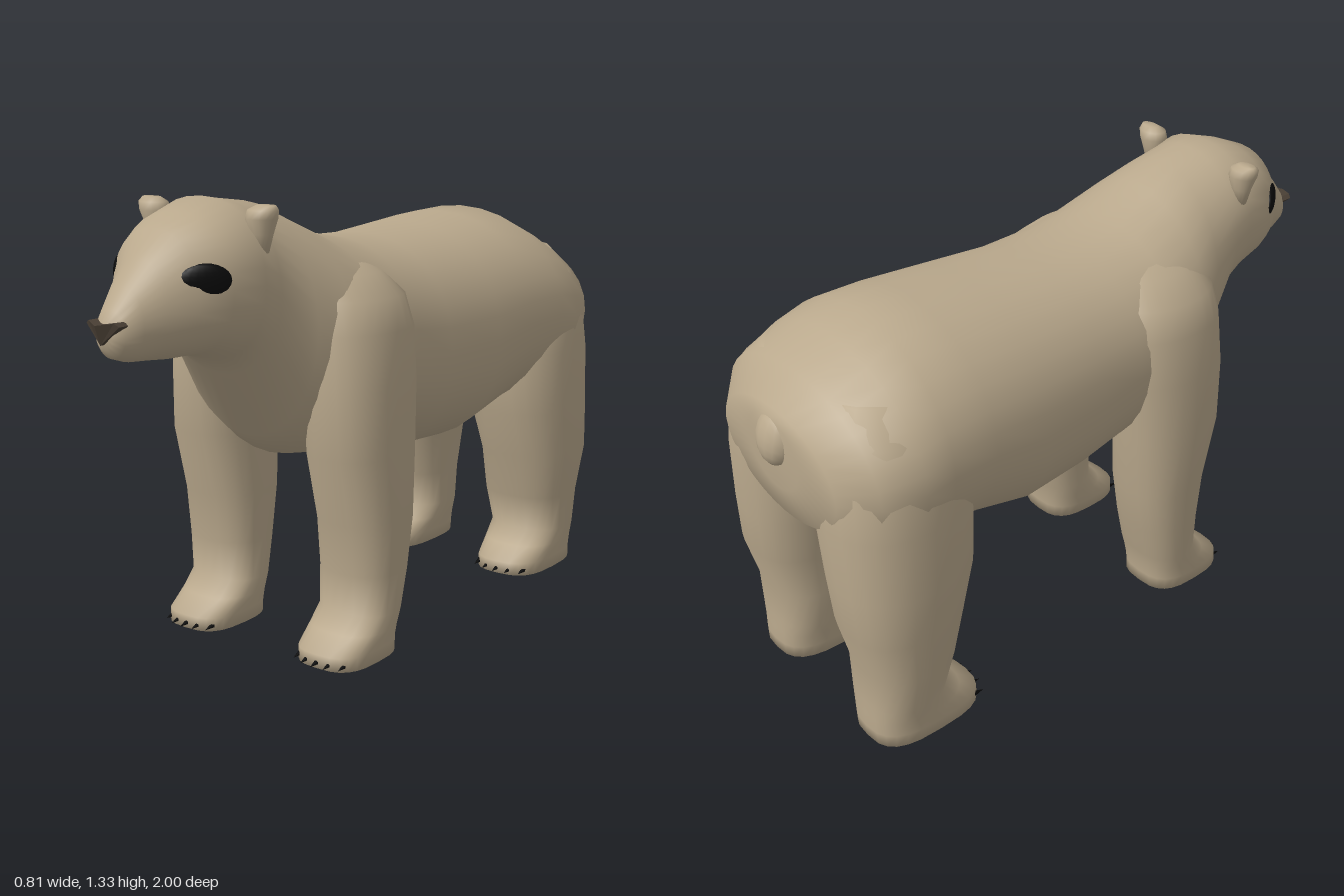
import * as THREE from 'three';
import { toCreasedNormals } from 'three/addons/utils/BufferGeometryUtils.js';

const fur = new THREE.MeshStandardMaterial({ color: 0xb9a88c });
const black = new THREE.MeshStandardMaterial({ color: 0x0a0a0a });
const noseBrown = new THREE.MeshStandardMaterial({ color: 0x4a4035 });

// Skin over rounded cross-sections [t, u0, u1, v0, v1, power], t increasing.
// Axis 'z' uses (u, v) = (x, y); axis 'y' uses (u, v) = (z, x).
function loft(axis, sections, sides = 24, crease = 2) {
  const pos = [], idx = [], n = sections.length;
  const add = (t, u, v) => (axis === 'z' ? pos.push(u, v, t) : pos.push(v, t, u));
  for (const [t, u0, u1, v0, v1, p] of sections) {
    for (let i = 0; i < sides; i++) {
      const a = (i / sides) * Math.PI * 2, c = Math.cos(a), s = Math.sin(a);
      const u = Math.sign(c) * Math.abs(c) ** (2 / p), v = Math.sign(s) * Math.abs(s) ** (2 / p);
      add(t, (u0 + u1) / 2 + (u * (u1 - u0)) / 2, (v0 + v1) / 2 + (v * (v1 - v0)) / 2);
    }
  }
  for (const [t, u0, u1, v0, v1] of [sections[0], sections[n - 1]]) add(t, (u0 + u1) / 2, (v0 + v1) / 2);
  for (let i = 0; i < sides; i++) {
    const j = (i + 1) % sides, top = (n - 1) * sides;
    for (let k = 0; k < n - 1; k++) {
      const a = k * sides + i, b = k * sides + j;
      idx.push(a, b, b + sides, a, b + sides, a + sides);
    }
    idx.push(n * sides, j, i, n * sides + 1, top + i, top + j);
  }
  const g = new THREE.BufferGeometry();
  g.setAttribute('position', new THREE.Float32BufferAttribute(pos, 3));
  g.setIndex(idx);
  return toCreasedNormals(g, crease);
}

// Upright loft for a part on the +x (left) side, mirrored when side is -1
function sideLoft(side, sections, sides) {
  return loft('y', sections.map(([y, z0, z1, a, b, p]) =>
    side > 0 ? [y, z0, z1, a, b, p] : [y, z0, z1, -b, -a, p]), sides);
}

function mesh(parent, name, geometry, material) {
  const m = new THREE.Mesh(geometry, material);
  m.name = name;
  parent.add(m);
  return m;
}

// Leg with its paw and claws
function leg(parent, name, side, sections, toeZ, x0, x1) {
  const g = new THREE.Group();
  g.name = name;
  parent.add(g);
  mesh(g, 'leg', sideLoft(side, sections, 24), fur);
  for (let i = 0; i < 5; i++) {
    const f = i / 4 - 0.5;
    const claw = mesh(g, 'claw', new THREE.ConeGeometry(0.017, 0.07, 6), black);
    claw.position.set(side * ((x0 + x1) / 2 + f * (x1 - x0)), 0.017, toeZ - 0.033 - f * f * 0.1);
    claw.rotation.x = Math.PI / 2 + 0.15;
  }
}

export function createModel() {
  const bear = new THREE.Group();
  bear.name = 'bear';

  // Rump, trunk, neck, head and muzzle: [z, halfWidth, bottom, top, power]
  const trunk = [
    [-0.97, 0.12, 0.78, 1.0, 2], [-0.955, 0.27, 0.69, 1.02, 2], [-0.88, 0.365, 0.62, 1.1, 2.1],
    [-0.76, 0.4, 0.57, 1.16, 2.1], [-0.67, 0.397, 0.55, 1.205, 2], [-0.52, 0.385, 0.54, 1.2, 2.1],
    [-0.33, 0.37, 0.49, 1.185, 2.2], [-0.1, 0.345, 0.5, 1.17, 2.2], [0.05, 0.335, 0.53, 1.175, 2.2],
    [0.2, 0.34, 0.55, 1.2, 2.1], [0.33, 0.315, 0.57, 1.26, 2], [0.43, 0.26, 0.645, 1.305, 2],
    [0.54, 0.225, 0.84, 1.32, 2.1], [0.6, 0.222, 0.89, 1.33, 2.2], [0.7, 0.2, 0.92, 1.295, 2.3],
    [0.78, 0.155, 0.92, 1.26, 2.2], [0.84, 0.105, 0.925, 1.19, 2.1], [0.9, 0.075, 0.93, 1.125, 2.1],
    [0.945, 0.053, 0.945, 1.07, 2.1], [0.968, 0.03, 0.97, 1.04, 2],
  ];
  mesh(bear, 'bodyAndHead',
    loft('z', trunk.map(([z, w, b, t, p]) => [z, -w, w, b, t, p]), 32), fur);

  // Nose pad: wide top edge tapering to a point below, swept back at the sides
  const pad = new THREE.Shape();
  pad.moveTo(0, -0.045);
  pad.lineTo(0.058, 0.006);
  pad.lineTo(0.045, 0.015);
  pad.lineTo(0, 0.008);
  pad.lineTo(-0.045, 0.015);
  pad.lineTo(-0.058, 0.006);
  const noseGeo = new THREE.ExtrudeGeometry(pad, { depth: 0.06, bevelEnabled: false });
  const np = noseGeo.attributes.position;
  for (let i = 0; i < np.count; i++) {
    if (np.getZ(i) > 0.02) np.setZ(i, 0.06 - Math.abs(np.getX(i)) * 0.5 + Math.min(0, np.getY(i)) * 0.4);
  }
  noseGeo.computeVertexNormals();
  mesh(bear, 'nose', noseGeo, noseBrown).position.set(0, 1.03, 0.94);

  // Tail stub
  const tail = mesh(bear, 'tail', new THREE.SphereGeometry(1, 14, 10), fur);
  tail.scale.set(0.07, 0.085, 0.05);
  tail.position.set(0, 0.935, -0.95);
  tail.rotation.x = 0.25;

  for (const side of [1, -1]) {
    const label = side > 0 ? 'left' : 'right';

    // Flattened eye set into the tapering side of the face
    const eye = mesh(bear, label + 'Eye', new THREE.SphereGeometry(1, 20, 12), black);
    eye.scale.set(0.07, 0.045, 0.018);
    eye.position.set(side * 0.151, 1.135, 0.757);
    eye.rotation.y = side * 0.88;

    // Ear widening from a narrow base: [y, z0, z1, x0, x1, power]
    mesh(bear, label + 'Ear', sideLoft(side, [
      [1.19, 0.56, 0.595, 0.17, 0.208, 2], [1.24, 0.55, 0.605, 0.155, 0.222, 2],
      [1.28, 0.54, 0.62, 0.145, 0.236, 2], [1.303, 0.545, 0.615, 0.15, 0.242, 2],
      [1.316, 0.56, 0.595, 0.175, 0.235, 2],
    ], 14), fur);

    // Legs: [y, back z, front z, inner x, outer x, power]
    leg(bear, label + 'FrontLeg', side, [
      [0, 0.15, 0.435, 0.14, 0.365, 3], [0.04, 0.148, 0.435, 0.135, 0.368, 2.8],
      [0.085, 0.145, 0.37, 0.13, 0.37, 2.6], [0.13, 0.135, 0.32, 0.13, 0.372, 2.5],
      [0.25, 0.105, 0.325, 0.13, 0.378, 2.5], [0.4, 0.08, 0.34, 0.125, 0.385, 2.5],
      [0.6, 0.065, 0.395, 0.12, 0.39, 2.4], [0.8, 0.05, 0.405, 0.12, 0.386, 2.3],
      [0.95, 0.04, 0.4, 0.12, 0.37, 2.2], [1.04, 0.05, 0.39, 0.11, 0.343, 2.1],
      [1.1, 0.08, 0.37, 0.1, 0.27, 2], [1.14, 0.13, 0.34, 0.1, 0.2, 2],
    ], 0.462, 0.17, 0.33);
    leg(bear, label + 'HindLeg', side, [
      [0, -0.91, -0.555, 0.125, 0.36, 3], [0.04, -0.912, -0.555, 0.12, 0.363, 2.8],
      [0.085, -0.91, -0.615, 0.113, 0.366, 2.6], [0.13, -0.908, -0.67, 0.108, 0.37, 2.5],
      [0.25, -0.908, -0.635, 0.095, 0.385, 2.5], [0.4, -0.945, -0.6, 0.085, 0.402, 2.5],
      [0.55, -0.955, -0.55, 0.06, 0.405, 2.4], [0.75, -0.96, -0.53, 0.03, 0.402, 2.3],
      [0.88, -0.95, -0.55, 0.03, 0.388, 2.2], [1.0, -0.91, -0.6, 0.05, 0.352, 2.1],
      [1.08, -0.86, -0.64, 0.08, 0.27, 2],
    ], -0.53, 0.155, 0.325);
  }
  return bear;
}
